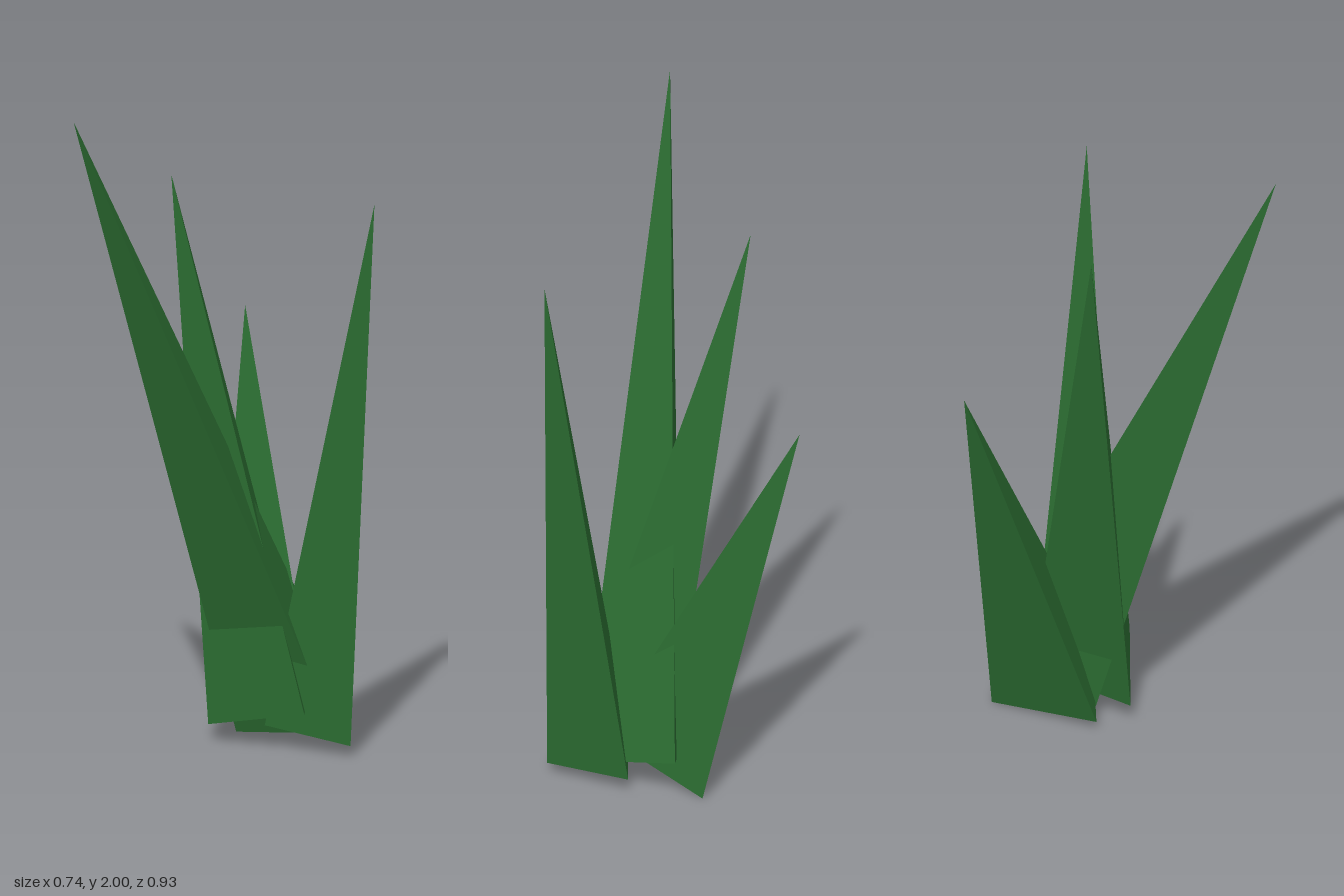
import * as THREE from 'three';

// Each blade: a tip and three base corners, counter-clockwise seen from above
const BLADES = [
  { name: 'frontBlade', tip: [-0.37, 2, 0.465], base: [[0.245, 0.05, -0.06], [0.09, 0.14, -0.36], [-0.1, 0.01, -0.07]] },
  { name: 'leftBlade', tip: [0.372, 1.71, -0.065], base: [[0.325, 0.035, 0], [0.18, 0.05, -0.235], [0.04, 0.067, 0.012]] },
  { name: 'rightBlade', tip: [-0.33, 1.71, -0.088], base: [[0.197, 0.13, 0.055], [0.045, 0.09, -0.255], [-0.137, 0.055, 0.04]] },
  { name: 'backBlade', tip: [-0.28, 1.22, -0.468], base: [[0.17, 0.12, -0.06], [0, 0, -0.37], [-0.185, 0.03, -0.065]] },
];

// Three-sided spike with a closed base
function bladeGeometry(tip, base) {
  const points = [];
  for (let i = 0; i < 3; i++) points.push(...base[i], ...base[(i + 1) % 3], ...tip);
  points.push(...base[2], ...base[1], ...base[0]);
  const geometry = new THREE.BufferGeometry();
  geometry.setAttribute('position', new THREE.Float32BufferAttribute(points, 3));
  geometry.computeVertexNormals();
  return geometry;
}

export function createModel() {
  const group = new THREE.Group();
  group.name = 'grassTuft';
  const green = new THREE.MeshStandardMaterial({ color: 0x2a6a30, flatShading: true });
  for (const { name, tip, base } of BLADES) {
    const blade = new THREE.Mesh(bladeGeometry(tip, base), green);
    blade.name = name;
    group.add(blade);
  }
  return group;
}
